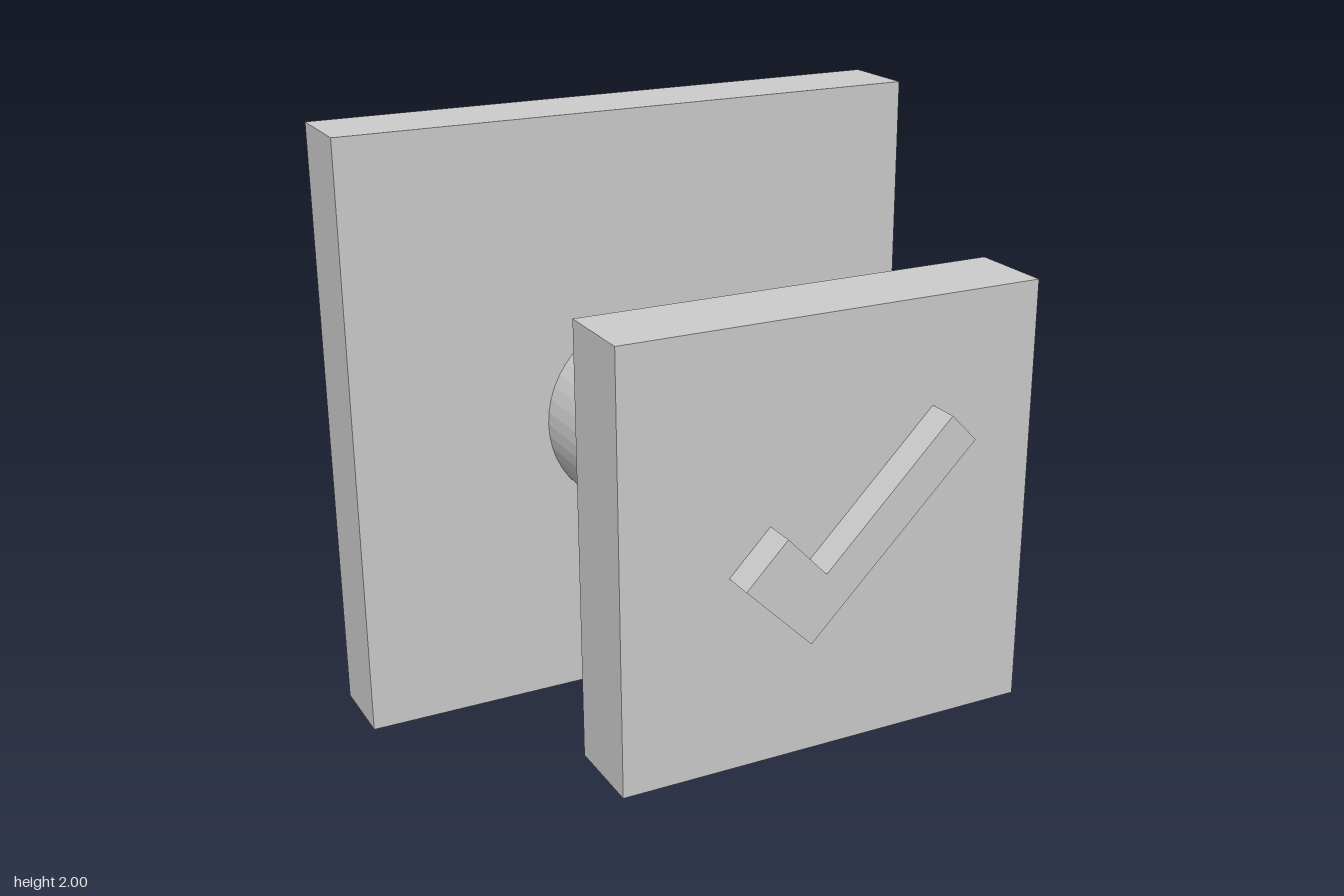
import * as THREE from 'three';

export function createModel() {
  const group = new THREE.Group();
  const grey = new THREE.MeshStandardMaterial({ color: 0xcccccc, flatShading: true });
  grey.name = 'plain grey';

  const add = (name, geometry, x, y, z) => {
    const mesh = new THREE.Mesh(geometry, grey);
    mesh.name = name;
    mesh.position.set(x, y, z);
    group.add(mesh);
    return mesh;
  };

  const plateDepth = 0.267, plateZ = 0.5 + plateDepth / 2, faceZ = 0.5 + plateDepth;

  // Square plates at both ends of the shaft
  add('frontPlate', new THREE.BoxGeometry(1.333, 1.333, plateDepth), 0, 1.002, plateZ);
  add('backPlate', new THREE.BoxGeometry(2, 2, plateDepth), 0, 1, -plateZ);

  // Round shaft lying along z
  const shaft = new THREE.CylinderGeometry(0.332, 0.332, 1, 48).rotateX(Math.PI / 2);
  add('shaft', shaft, -0.002, 0.978, 0);

  // Raised tick, outlined relative to the plate centre
  const outline = [
    [-0.332, -0.058], [-0.123, -0.264], [0.403, 0.259],
    [0.321, 0.344], [-0.078, -0.057], [-0.203, 0.074],
  ];
  const tick = (scale) => new THREE.ExtrudeGeometry(
    new THREE.Shape(outline.map(([x, y]) => new THREE.Vector2(x * scale, y * scale))),
    { depth: 0.1, bevelEnabled: false },
  );
  add('frontTick', tick(1), 0, 1, faceZ);
  // The larger tick faces backwards
  add('backTick', tick(1.5), 0, 1, -faceZ).rotation.y = Math.PI;

  return group;
}
